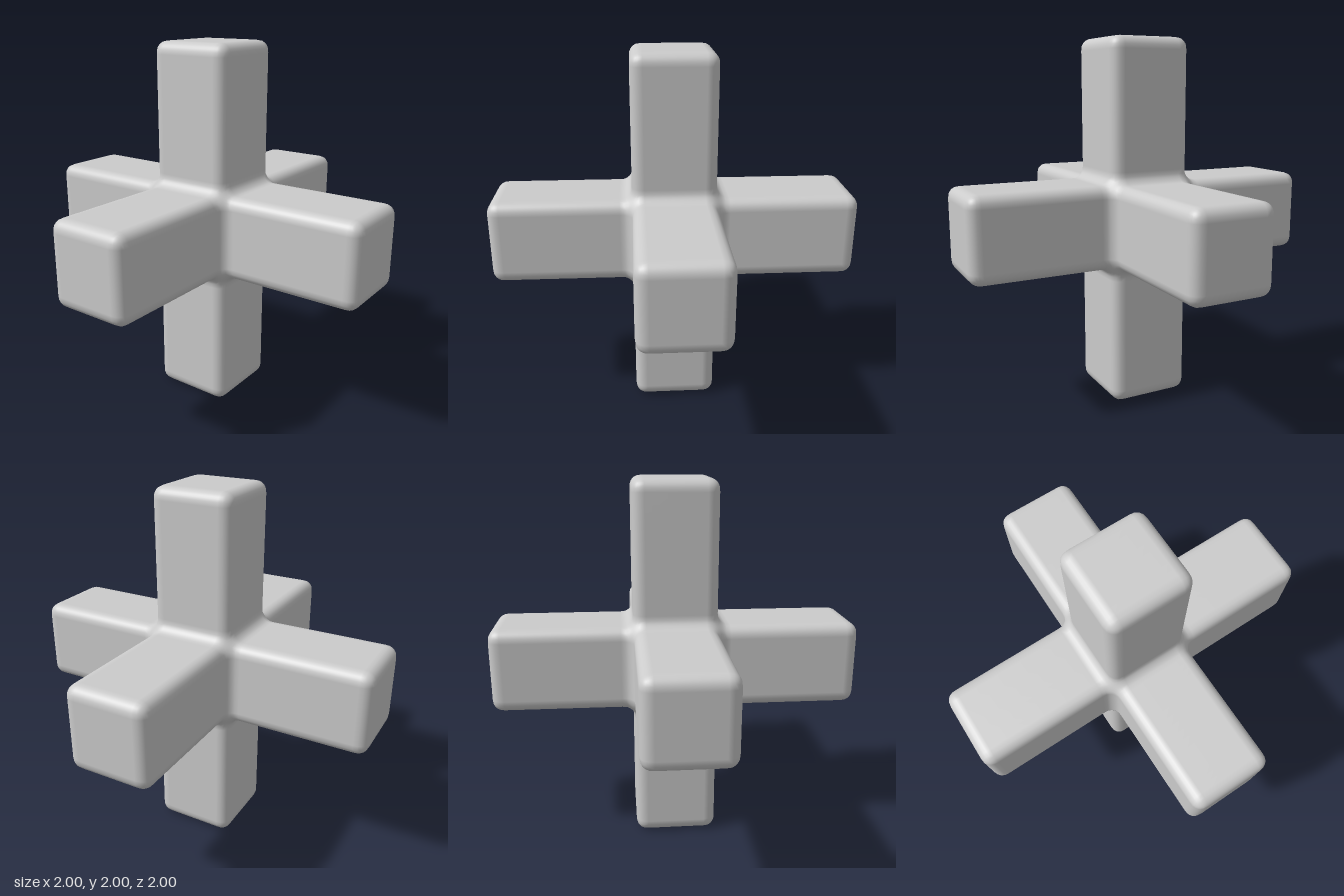
import * as THREE from 'three';
import { mergeGeometries } from 'three/addons/utils/BufferGeometryUtils.js';

const H = 0.228;      // half width of a bar
const ROUND = 0.06;   // radius of the outer edges
const FILLET = 0.06;  // radius of the inner corners
const AXES = ['x', 'y', 'z'];

// Signed distance to a rounded bar running along one axis
function bar(p, axis) {
  const q = AXES.map((a) => Math.abs(p[a]) - (a === axis ? 1 : H) + ROUND);
  return Math.hypot(...q.map((v) => Math.max(v, 0))) + Math.min(Math.max(...q), 0) - ROUND;
}

// Three crossed bars, joined with circular fillets
function cross(p) {
  const d = AXES.map((a) => bar(p, a));
  const inside = Math.hypot(...d.map((v) => Math.max(FILLET - v, 0)));
  return Math.max(FILLET, Math.min(...d)) - inside;
}

function gradient(p, e = 1e-4) {
  const g = new THREE.Vector3();
  for (const a of AXES) {
    const hi = p.clone(), lo = p.clone();
    hi[a] += e;
    lo[a] -= e;
    g[a] = (cross(hi) - cross(lo)) / (2 * e);
  }
  return g;
}

// Spread -1..1 so that the grid is denser towards both ends
const ease = (t) => Math.sin(t * Math.PI / 2);

// Square arm from the hub to its tip along +y, without the hidden hub face
function armShell() {
  const geo = new THREE.BoxGeometry(2, 2, 2, 16, 26, 16);
  const hidden = geo.groups[3];
  const index = Array.from(geo.index.array);
  index.splice(hidden.start, hidden.count);
  geo.setIndex(index);
  geo.clearGroups();
  const pos = geo.attributes.position;
  for (let i = 0; i < pos.count; i++) {
    pos.setXYZ(i, H * ease(pos.getX(i)),
      (1 + H) / 2 + (1 - H) / 2 * ease(pos.getY(i)), H * ease(pos.getZ(i)));
  }
  return geo;
}

export function createModel() {
  // Six arms meeting at the centre
  const up = new THREE.Vector3(0, 1, 0);
  const arms = [];
  for (const a of AXES) {
    for (const s of [1, -1]) {
      const dir = new THREE.Vector3();
      dir[a] = s;
      arms.push(armShell().applyQuaternion(new THREE.Quaternion().setFromUnitVectors(up, dir)));
    }
  }
  const geo = mergeGeometries(arms);

  // Pull the sharp shell onto the rounded surface and take smooth normals from it
  const pos = geo.attributes.position, nor = geo.attributes.normal;
  const p = new THREE.Vector3();
  for (let i = 0; i < pos.count; i++) {
    p.fromBufferAttribute(pos, i);
    for (let k = 0; k < 6; k++) {
      const g = gradient(p);
      p.addScaledVector(g, -cross(p) / Math.max(g.lengthSq(), 0.2));
    }
    const n = gradient(p).normalize();
    pos.setXYZ(i, p.x, p.y, p.z);
    nor.setXYZ(i, n.x, n.y, n.z);
  }
  geo.translate(0, 1, 0);

  const mesh = new THREE.Mesh(geo, new THREE.MeshStandardMaterial({ color: 0xcccccc }));
  mesh.name = 'sixArmedCross';
  const group = new THREE.Group();
  group.name = 'roundedCross';
  group.add(mesh);
  return group;
}
